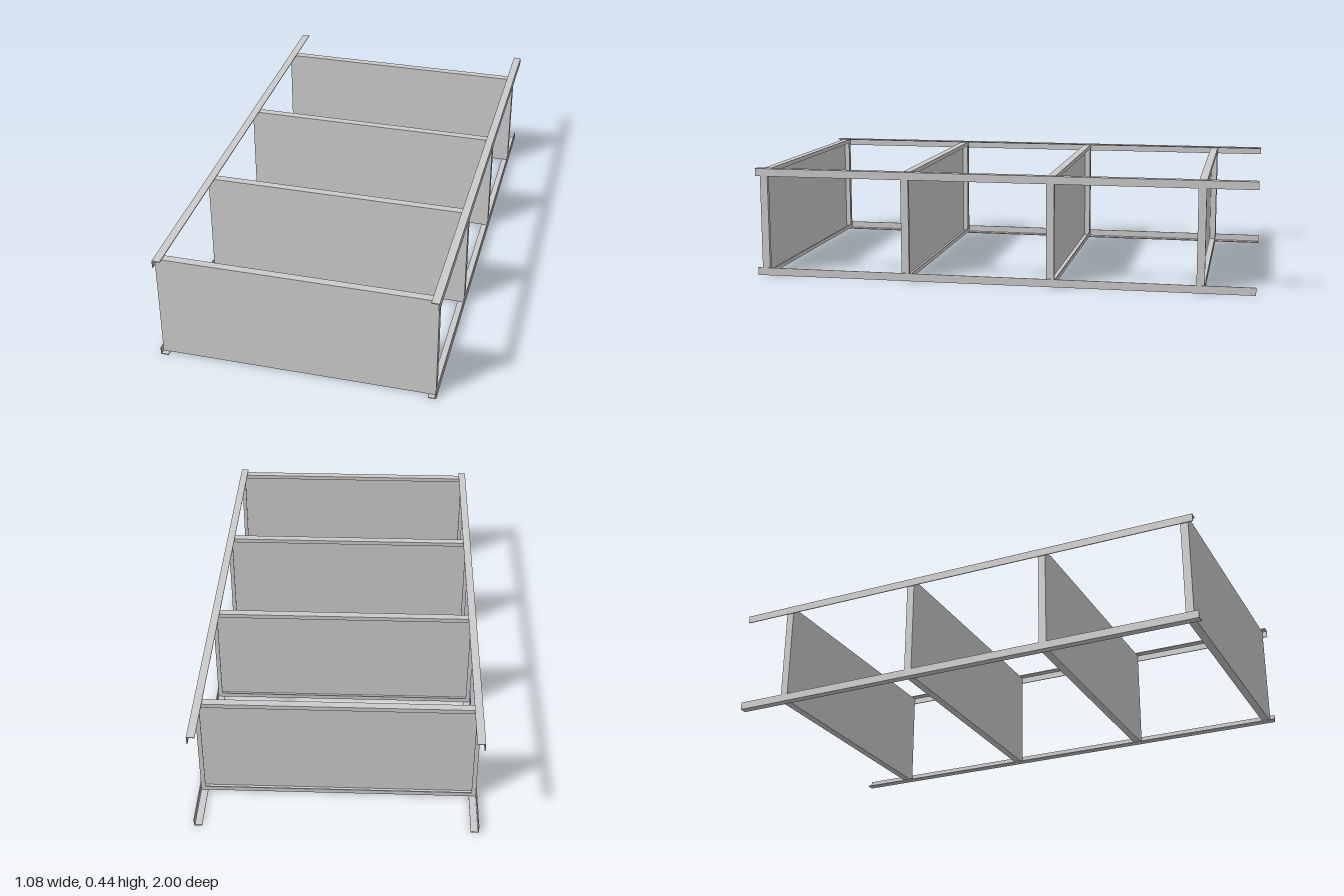
import * as THREE from 'three';

const material = new THREE.MeshStandardMaterial({ color: 0xcccccc });

const WIDTH = 1.08, HEIGHT = 0.438, LENGTH = 2;
const ARM = 0.031, T = 0.004; // angle-rail arm width and sheet thickness
const DEPTH = 0.031, LIP = 0.013; // tray rim depth and return lip

function box(name, w, h, d, x, y, z) {
  const mesh = new THREE.Mesh(new THREE.BoxGeometry(w, h, d), material);
  mesh.name = name;
  mesh.position.set(x, y, z);
  return mesh;
}

// L-section rail with its corner on the outside; sx, sy choose the corner
function cornerRail(sx, sy) {
  const profile = [[0, 0], [ARM, 0], [ARM, T], [T, T], [T, ARM], [0, ARM]];
  const shape = new THREE.Shape(profile.map(([a, b]) => new THREE.Vector2(
    sx * (WIDTH / 2 - a), HEIGHT / 2 + sy * (HEIGHT / 2 - b))));
  const geometry = new THREE.ExtrudeGeometry(shape, { depth: LENGTH, bevelEnabled: false });
  geometry.translate(0, 0, -LENGTH / 2);
  const mesh = new THREE.Mesh(geometry, material);
  mesh.name = 'cornerRail';
  return mesh;
}

// Sheet tray: flat front plate, rim folded backwards, narrow return lip
function shelf(zFront) {
  const group = new THREE.Group();
  group.name = 'shelf';
  group.position.set(0, HEIGHT / 2, zFront);
  const w = WIDTH - 2 * T, h = HEIGHT - 2 * T;
  group.add(box('shelfPlate', w, h, T, 0, 0, -T / 2));
  for (const s of [-1, 1]) {
    group.add(box('sideRim', T, h, DEPTH - T, s * (w - T) / 2, 0, -(DEPTH + T) / 2));
    group.add(box('edgeRim', w - 2 * T, T, DEPTH - T, 0, s * (h - T) / 2, -(DEPTH + T) / 2));
    group.add(box('sideLip', LIP, h - 2 * T, T, s * (w / 2 - T - LIP / 2), 0, -DEPTH + T / 2));
    group.add(box('edgeLip', w - 2 * T - 2 * LIP, LIP, T, 0, s * (h / 2 - T - LIP / 2), -DEPTH + T / 2));
  }
  return group;
}

export function createModel() {
  const model = new THREE.Group();
  model.name = 'shelvingRack';
  for (const sx of [-1, 1]) for (const sy of [-1, 1]) model.add(cornerRail(sx, sy));
  for (let i = 0; i < 4; i++) model.add(shelf(0.981 - i * 0.585));
  return model;
}
